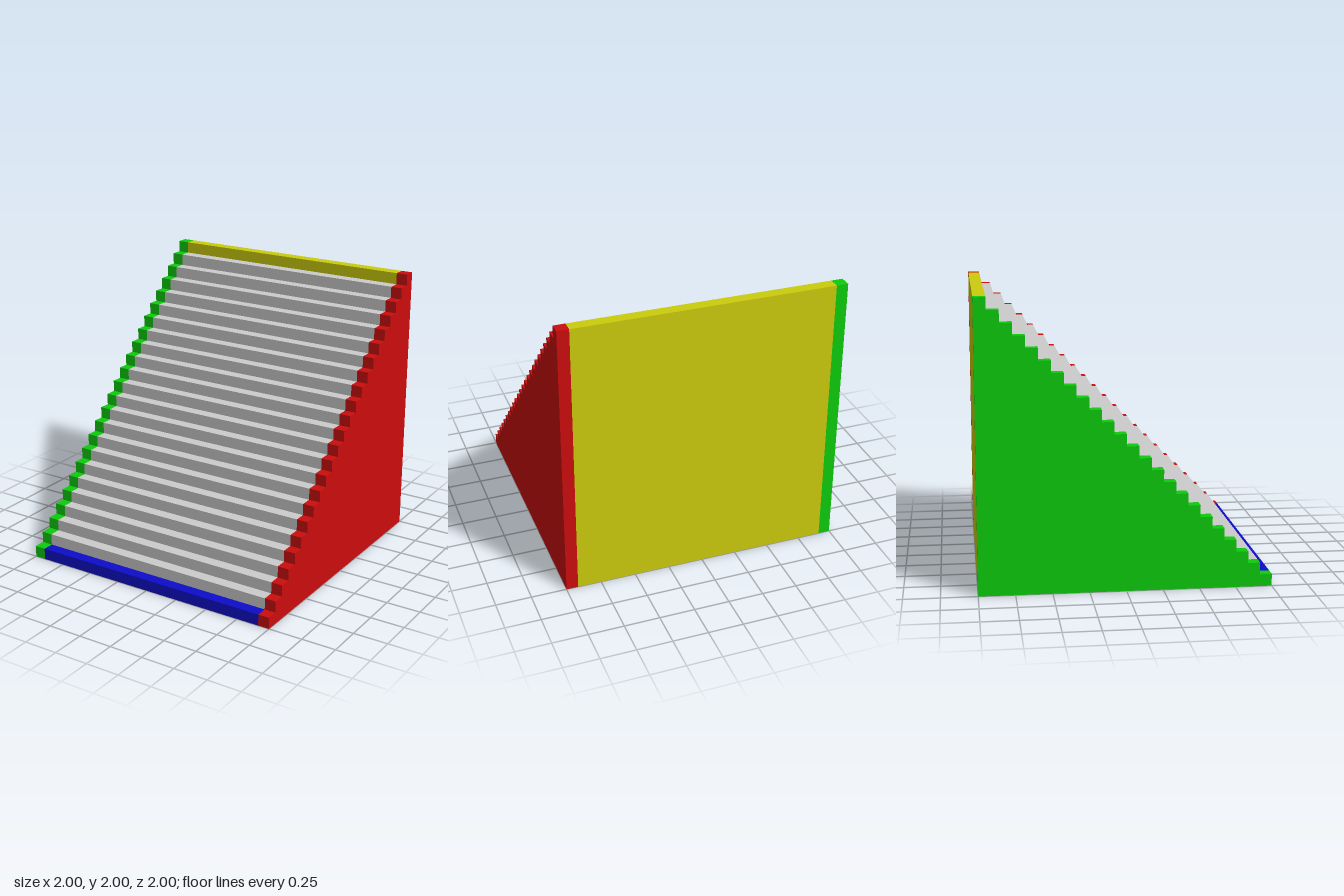
import * as THREE from 'three';

const U = 1 / 12; // one stair step; the model is 24 steps on each side

function material(name, color) {
  const m = new THREE.MeshStandardMaterial({ color });
  m.name = name;
  return m;
}

// Solid staircase running up towards the back, made of steps first..last
function stairs(name, first, last, baseY, xMin, xMax, mat) {
  const shape = new THREE.Shape();
  shape.moveTo(-1 + first * U, baseY);
  for (let i = first; i <= last; i++) {
    shape.lineTo(-1 + i * U, (i + 1) * U);
    shape.lineTo(-1 + (i + 1) * U, (i + 1) * U);
  }
  shape.lineTo(-1 + (last + 1) * U, baseY);
  shape.closePath();
  const geo = new THREE.ExtrudeGeometry(shape, { depth: xMax - xMin, bevelEnabled: false });
  geo.rotateY(Math.PI / 2); // profile runs along -z, depth along +x
  geo.translate(xMin, 0, 0);
  const mesh = new THREE.Mesh(geo, mat);
  mesh.name = name;
  return mesh;
}

function box(name, w, h, d, x, y, z, mat) {
  const mesh = new THREE.Mesh(new THREE.BoxGeometry(w, h, d), mat);
  mesh.position.set(x, y, z);
  mesh.name = name;
  return mesh;
}

export function createModel() {
  const red = material('red', 0xcc0d0d);
  const green = material('green', 0x0dcc0d);
  const blue = material('blue', 0x0d0dcc);
  const yellow = material('yellow', 0xcccc0d);
  const grey = material('light grey', 0xcccccc);

  const group = new THREE.Group();
  group.name = 'steppedWedge';
  const inner = 1 - U;

  group.add(
    // stepped side walls
    stairs('leftSideWall', 0, 23, 0, inner, 1, red),
    stairs('rightSideWall', 0, 23, 0, -1, -inner, green),
    // grey steps between the walls
    stairs('steps', 1, 22, U, -inner, inner, grey),
    // floor, forming the lowest step
    box('floor', 2 * inner, U, 2 - U, 0, U / 2, U / 2, blue),
    // back wall, forming the highest step
    box('backWall', 2 * inner, 2, U, 0, 1, -1 + U / 2, yellow)
  );
  return group;
}
